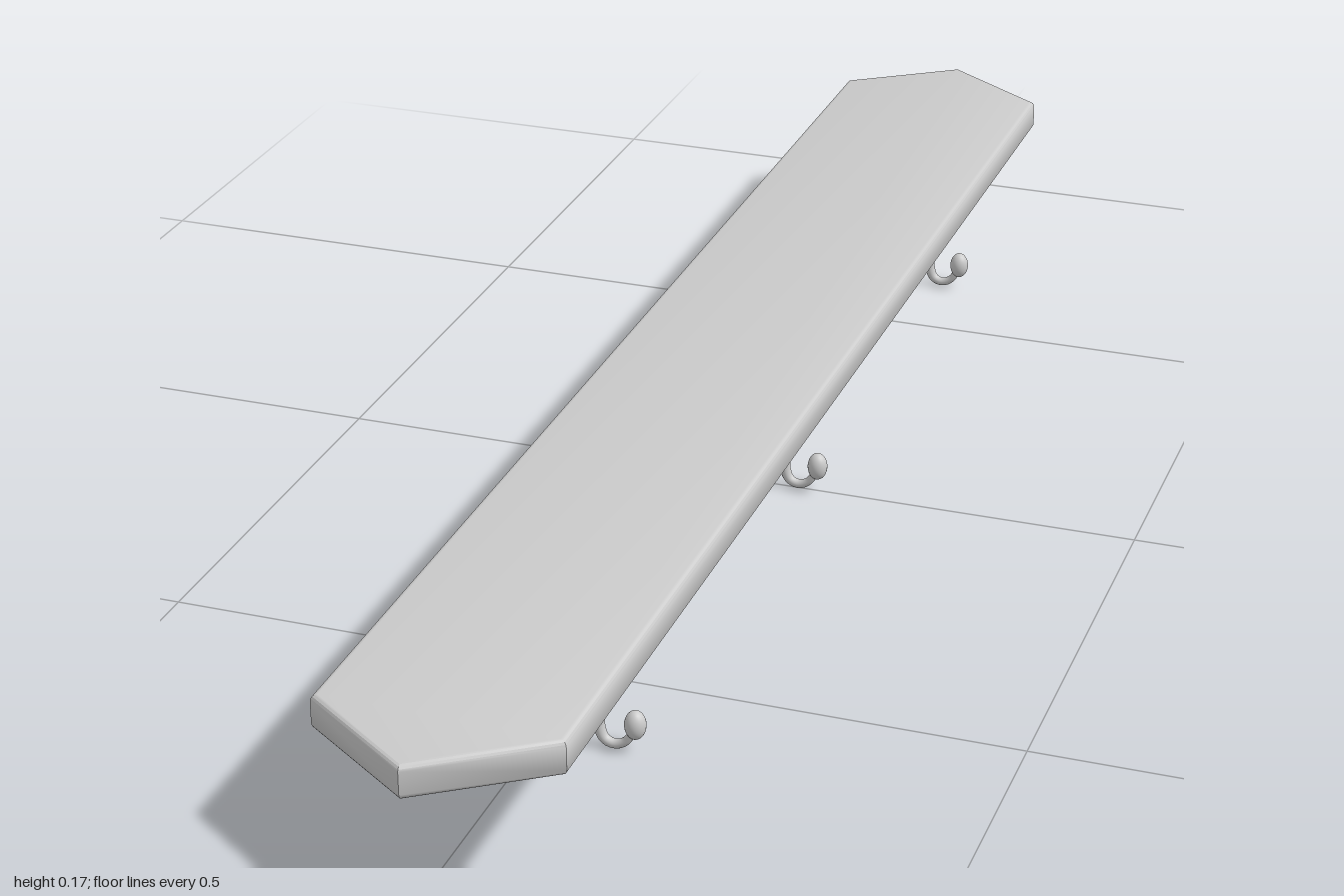
import * as THREE from 'three';
import { toCreasedNormals } from 'three/addons/utils/BufferGeometryUtils.js';

const material = new THREE.MeshStandardMaterial({ color: 0xcccccc });

// Long plank with pointed ends and softly rounded edges
function makeBoard() {
  const w = 0.137, shoulder = 0.905, bevel = 0.007, thickness = 0.04;
  const shape = new THREE.Shape([
    [w, -shoulder], [w, shoulder], [0, 1], [-w, shoulder], [-w, -shoulder], [0, -1],
  ].map(([x, y]) => new THREE.Vector2(x, y)));
  const geometry = new THREE.ExtrudeGeometry(shape, {
    depth: thickness - 2 * bevel, bevelThickness: bevel, bevelSize: bevel,
    bevelOffset: -bevel, bevelSegments: 4,
  });
  geometry.translate(0, 0, bevel).rotateX(-Math.PI / 2);
  const board = new THREE.Mesh(toCreasedNormals(geometry, 0.6), material);
  board.name = 'board';
  board.position.y = 0.138;
  return board;
}

// S-shaped hook with a tapering stem; side is +1 or -1
function makeHook(side) {
  const hook = new THREE.Group();
  const path = new THREE.CatmullRomCurve3([
    [0.014, 0.093], [0.027, 0.109], [0.046, 0.116], [0.063, 0.106], [0.071, 0.086],
    [0.071, 0.066], [0.066, 0.045], [0.066, 0.027], [0.072, 0.013], [0.083, 0.0085],
    [0.095, 0.013], [0.105, 0.027],
  ].map(([x, y]) => new THREE.Vector3(side * x, y, 0)));

  // Stem: a unit tube scaled ring by ring about the path
  const rings = 64, sides = 16, startRadius = 0.0125, endRadius = 0.0042;
  const geometry = new THREE.TubeGeometry(path, rings, 1, sides);
  const pos = geometry.attributes.position;
  const v = new THREE.Vector3();
  for (let i = 0; i < pos.count; i++) {
    const t = Math.floor(i / (sides + 1)) / rings;
    const centre = path.getPointAt(t);
    const radius = THREE.MathUtils.lerp(startRadius, endRadius, t);
    v.fromBufferAttribute(pos, i).sub(centre).multiplyScalar(radius).add(centre);
    pos.setXYZ(i, v.x, v.y, v.z);
  }
  const stem = new THREE.Mesh(geometry, material);
  stem.name = 'hookStem';

  // Flat cut at the thick end
  const cap = new THREE.Mesh(new THREE.CircleGeometry(startRadius, sides), material);
  cap.name = 'stemEnd';
  cap.position.copy(path.getPointAt(0));
  cap.lookAt(cap.position.clone().sub(path.getTangentAt(0)));

  // Egg-shaped knob on the tip
  const knob = new THREE.Mesh(new THREE.SphereGeometry(1, 24, 16), material);
  knob.name = 'hookKnob';
  knob.scale.set(0.012, 0.017, 0.012);
  knob.position.set(side * 0.107, 0.036, 0);

  hook.add(stem, cap, knob);
  return hook;
}

export function createModel() {
  const model = new THREE.Group();
  model.name = 'hookRack';
  model.add(makeBoard());

  // Three mirrored pairs of hooks under the board
  ['back', 'middle', 'front'].forEach((row, i) => {
    for (const side of [-1, 1]) {
      const hook = makeHook(side);
      hook.name = row + (side > 0 ? 'LeftHook' : 'RightHook');
      hook.position.z = (i - 1) * 0.635;
      model.add(hook);
    }
  });
  return model;
}
